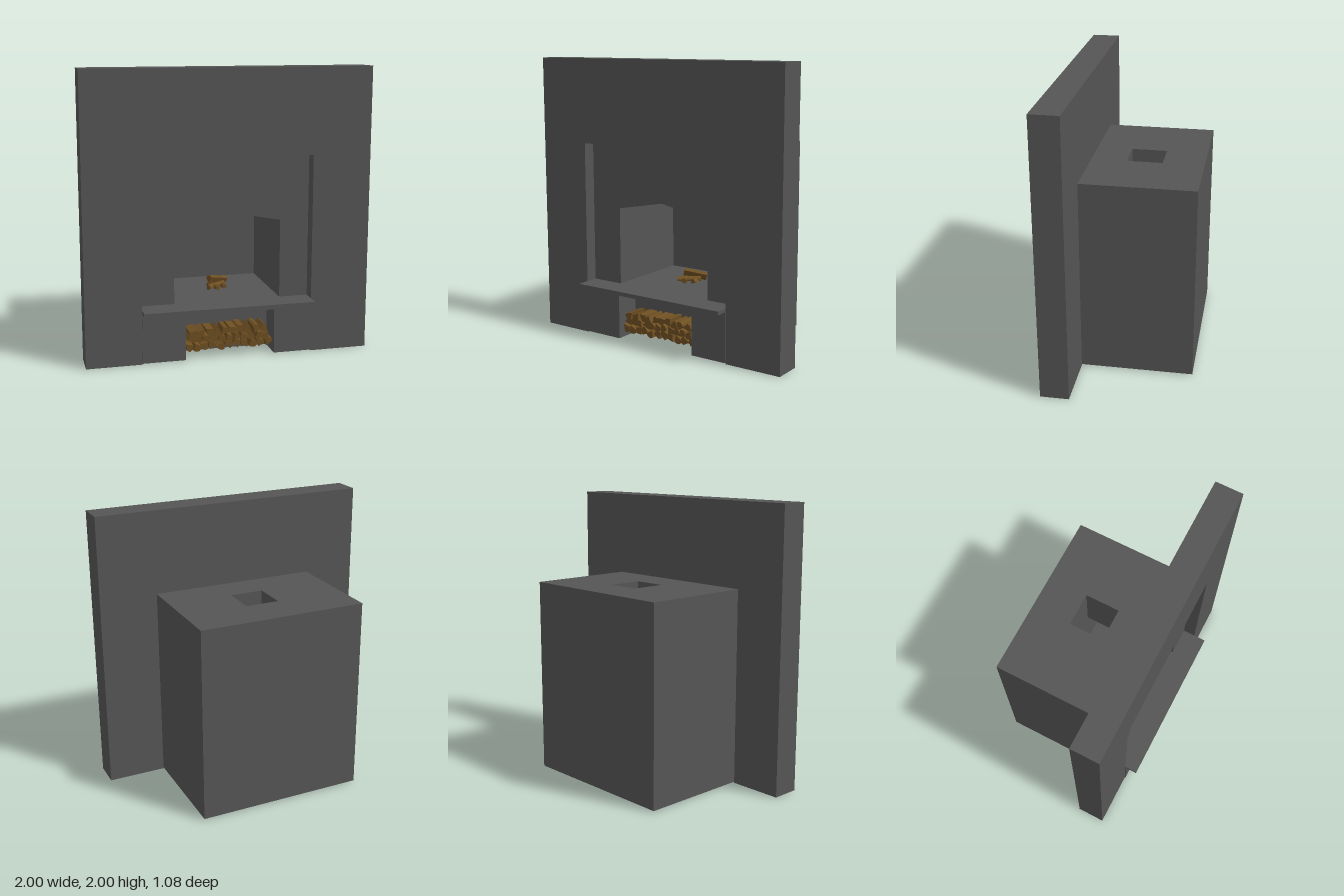
import * as THREE from 'three';

export function createModel() {
  const model = new THREE.Group();
  const stone = new THREE.MeshStandardMaterial({ name: 'dark grey stone', color: 0x555555 });
  const wood = new THREE.MeshStandardMaterial({ name: 'brown firewood', color: 0x6e4f22, flatShading: true });

  const L = -0.615, R = 0.585, BASE = 0.008, SHELF = 0.36, HEARTH = 0.385, TOP = 1.4;

  const outline = (pts, Type = THREE.Shape) => new Type(pts.map(p => new THREE.Vector2(...p)));

  // Extrude an x-y outline between two depths
  function slab(name, shape, z0, z1, parent = model) {
    const geo = new THREE.ExtrudeGeometry(shape, { depth: z1 - z0, bevelEnabled: false });
    const mesh = new THREE.Mesh(geo, stone);
    mesh.name = name;
    mesh.position.z = z0;
    parent.add(mesh);
  }

  // Outline of the fireplace body, optionally with the arched firebox
  const arch = [[-0.375, HEARTH], [0.38, HEARTH], [0.38, 0.94], [0, 1.012], [-0.375, 0.94]];
  function bodyShape(bottom, withArch) {
    const s = outline([[L, bottom], [R, bottom], [R, TOP], [L, TOP]]);
    if (withArch) s.holes.push(outline(arch, THREE.Path));
    return s;
  }

  // Chimney breast wall with a notch for the fireplace
  slab('wall', outline([[-1, 0], [L, 0], [L, TOP], [R, TOP], [R, 0], [1, 0], [1, 2], [-1, 2]]), 0.25, 0.45);

  // Body sliced along its depth, so the flue can open through the firebox ceiling
  const body = new THREE.Group();
  body.name = 'fireplaceBody';
  model.add(body);
  const flueL = -0.115, flueR = 0.125;
  const ceilingL = 0.94 + 0.072 * (flueL + 0.375) / 0.375;
  const ceilingR = 0.94 + 0.072 * (0.38 - flueR) / 0.38;
  const flueShape = outline([
    [L, BASE], [R, BASE], [R, TOP], [flueR, TOP], [flueR, ceilingR], [0.38, 0.94], [0.38, HEARTH],
    [-0.375, HEARTH], [-0.375, 0.94], [flueL, ceilingL], [flueL, TOP], [L, TOP],
  ]);
  slab('bodyBack', bodyShape(BASE, false), -0.54, -0.29, body);
  slab('fireboxBack', bodyShape(BASE, true), -0.29, -0.25, body);
  slab('flueSection', flueShape, -0.25, 0, body);
  slab('fireboxFront', bodyShape(BASE, true), 0, 0.27, body);
  slab('surround', bodyShape(SHELF, true), 0.27, 0.36, body);

  // Plinth with the log niche, and the hearth shelf above it
  slab('plinth', outline([
    [L, BASE], [-0.315, BASE], [-0.315, 0.325], [0.315, 0.325], [0.315, BASE], [R, BASE], [R, SHELF], [L, SHELF],
  ]), 0.27, 0.456);
  slab('hearthShelf', outline([[L, SHELF], [R, SHELF], [R, HEARTH], [L, HEARTH]]), 0.36, 0.54);

  let seed = 7;
  const rand = () => (seed = (seed * 16807) % 2147483647) / 2147483647;

  // Split log: a wedge with a faceted bark side, centred on its length
  function log(name, radius, length, parent) {
    const pts = [[-0.75 * radius, -0.65 * radius]];
    for (let i = 0; i <= 4; i++) {
      const a = -0.45 + i * 0.6;
      const r = radius * (0.85 + 0.25 * rand());
      pts.push([r * Math.cos(a), r * Math.sin(a)]);
    }
    const geo = new THREE.ExtrudeGeometry(outline(pts), { depth: length, bevelEnabled: false });
    geo.translate(0, 0, -length / 2);
    const mesh = new THREE.Mesh(geo, wood);
    mesh.name = name;
    parent.add(mesh);
    return mesh;
  }

  // Stacked firewood in the niche
  const pile = new THREE.Group();
  pile.name = 'logPile';
  model.add(pile);
  [[0.082, 11, 0.285], [0.135, 11, 0.265], [0.185, 10, 0.25]].forEach(([y, count, half]) => {
    for (let i = 0; i < count; i++) {
      const m = log('pileLog', 0.032, 0.2, pile);
      m.position.set(-half + 2 * half * i / (count - 1), y + (rand() - 0.5) * 0.012, 0.32 + (rand() - 0.5) * 0.02);
      m.rotation.z = rand() * Math.PI * 2;
    }
  });

  // Logs lying in the firebox
  const fire = new THREE.Group();
  fire.name = 'fireLogs';
  model.add(fire);
  [
    // x, y, z, heading, tilt, roll, radius, length
    [0.0, 0.4, 0.03, -0.95, 0, 0.3, 0.022, 0.17],
    [-0.02, 0.4, 0.04, 0.35, 0, 1.2, 0.022, 0.13],
    [0.05, 0.4, 0.0, 0.15, 0, 2.1, 0.02, 0.13],
    [0.02, 0.432, -0.02, 2.1, 0.2, 0.6, 0.028, 0.17],
  ].forEach(([x, y, z, heading, tilt, roll, radius, length]) => {
    const m = log('fireLog', radius, length, fire);
    m.position.set(x, y, z);
    m.rotation.set(tilt, heading, roll, 'YXZ');
  });

  return model;
}
